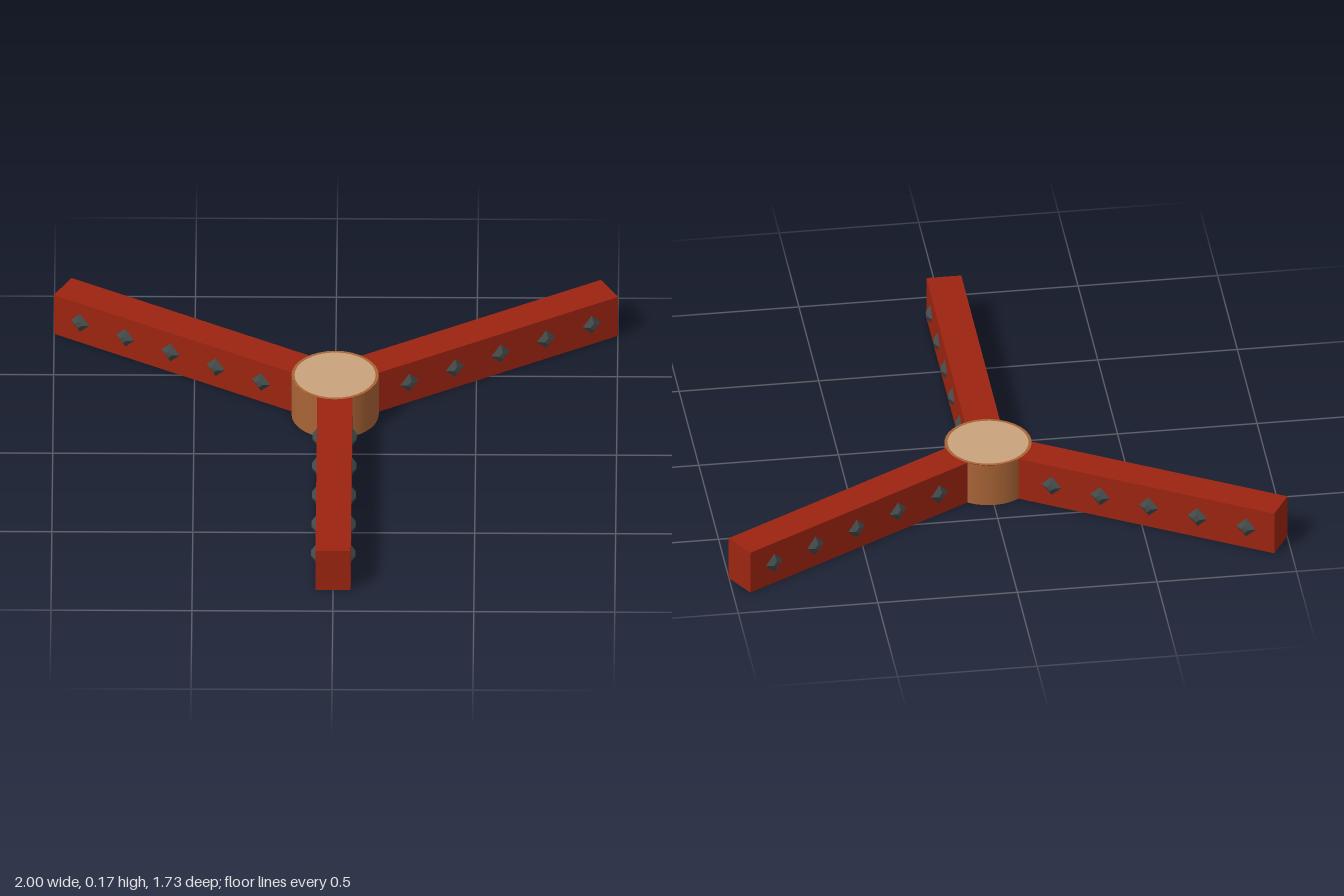
import * as THREE from 'three';

const HEIGHT = 0.166, ARM_LENGTH = 1.12, ARM_WIDTH = 0.125, HUB_RADIUS = 0.155;

const red = new THREE.MeshStandardMaterial({ color: 0x9c2410 });
red.name = 'red paint';
const brown = new THREE.MeshStandardMaterial({ color: 0xa86436, side: THREE.DoubleSide });
brown.name = 'brown wood';
const tan = new THREE.MeshStandardMaterial({ color: 0xcaa27c, side: THREE.DoubleSide });
tan.name = 'tan wood';
const iron = new THREE.MeshStandardMaterial({ color: 0x444a4a, flatShading: true });
iron.name = 'dark iron';

function addMesh(parent, name, geometry, material) {
  const mesh = new THREE.Mesh(geometry, material);
  mesh.name = name;
  parent.add(mesh);
  return mesh;
}

// One beam pointing along +z from the hub, with a row of studs on both sides
function createArm() {
  const arm = new THREE.Group();
  arm.name = 'arm';
  const beam = addMesh(arm, 'beam', new THREE.BoxGeometry(ARM_WIDTH, HEIGHT, ARM_LENGTH), red);
  beam.position.set(0, HEIGHT / 2, ARM_LENGTH / 2);

  const studGeometry = new THREE.CylinderGeometry(0.014, 0.038, 0.016, 4);
  for (const side of [-1, 1]) {
    for (let i = 0; i < 5; i++) {
      const stud = addMesh(arm, 'stud', studGeometry, iron);
      stud.rotation.z = -side * Math.PI / 2;
      stud.position.set(side * (ARM_WIDTH / 2 + 0.008), HEIGHT / 2, 0.268 + i * 0.186);
    }
  }
  return arm;
}

export function createModel() {
  const model = new THREE.Group();
  model.name = 'threeArmedBarrier';

  const body = new THREE.Group();
  body.name = 'body';
  body.position.z = -0.255;
  model.add(body);

  // Three arms, evenly spread
  for (let i = 0; i < 3; i++) {
    const arm = createArm();
    arm.rotation.y = i * Math.PI * 2 / 3;
    body.add(arm);
  }

  // Hub: a sleeve open below, with a rim and a pale disc on top
  const sleeve = new THREE.CylinderGeometry(HUB_RADIUS, HUB_RADIUS, HEIGHT, 32, 1, true);
  addMesh(body, 'hubSleeve', sleeve, brown).position.y = HEIGHT / 2;

  const rim = addMesh(body, 'hubRim', new THREE.RingGeometry(0.144, HUB_RADIUS, 32), brown);
  const cap = addMesh(body, 'hubCap', new THREE.CircleGeometry(0.144, 32), tan);
  for (const part of [rim, cap]) {
    part.rotation.x = -Math.PI / 2;
    part.position.y = HEIGHT + 0.001;
  }

  return model;
}
